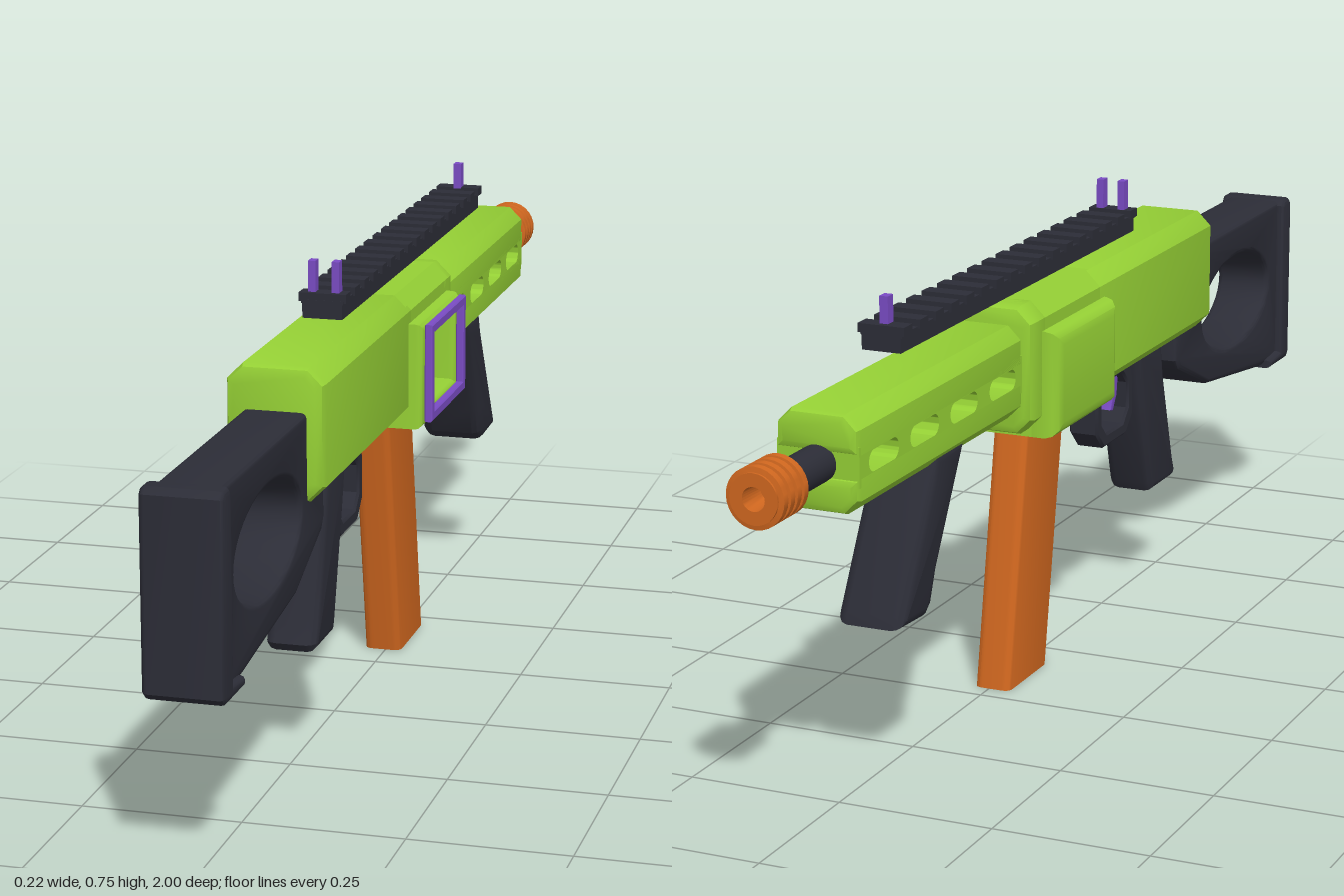
import * as THREE from 'three';
import { toCreasedNormals } from 'three/addons/utils/BufferGeometryUtils.js';

const mat = (name, color) => {
  const m = new THREE.MeshStandardMaterial({ color });
  m.name = name;
  return m;
};

export function createModel() {
  const green = mat('lime green', 0x95d035);
  const dark = mat('charcoal', 0x2c2d37);
  const orange = mat('orange', 0xd0671f);
  const purple = mat('purple', 0x7a4cc4);
  const brass = mat('brass', 0xcda238);

  const root = new THREE.Group();
  root.name = 'toyBlaster';
  root.position.x = -0.005;

  const add = (name, geometry, material, x = 0, y = 0, z = 0) => {
    const m = new THREE.Mesh(geometry, material);
    m.name = name;
    m.position.set(x, y, z);
    root.add(m);
    return m;
  };
  const box = (name, material, w, h, d, x, y, z) =>
    add(name, new THREE.BoxGeometry(w, h, d), material, x, y, z);

  const extrude = (shape, length, bevel, segs) => new THREE.ExtrudeGeometry(shape, {
    depth: length - 2 * bevel, bevelEnabled: bevel > 0, bevelSize: bevel, bevelThickness: bevel,
    bevelOffset: -bevel, bevelSegments: segs, curveSegments: 20,
  }).translate(0, 0, bevel);

  // Side outline of [z, y] points, extruded across the width from x0 to x1
  const vec = ([z, y]) => new THREE.Vector2(-z, y);
  const side = (name, material, pts, x0, x1, bevel = 0, holes = [], segs = 3) => {
    const shape = new THREE.Shape(pts.map(vec));
    shape.holes.push(...holes);
    const g = extrude(shape, x1 - x0, bevel, segs).rotateY(Math.PI / 2);
    return add(name, toCreasedNormals(g, 0.6), material, x0);
  };
  // Cross-section of [x, y] points, extruded along the length from z0 to z1
  const section = (name, material, pts, z0, z1, bevel) => {
    const shape = new THREE.Shape(pts.map(p => new THREE.Vector2(...p)));
    return add(name, toCreasedNormals(extrude(shape, z1 - z0, bevel, 2), 0.5), material, 0, 0, z0);
  };
  const rect = (z0, z1, y0, y1) => [[z0, y0], [z1, y0], [z1, y1], [z0, y1]];
  const pathOf = pts => new THREE.Path(pts.map(vec));

  // Receiver: solid ends and a middle that is open on one side
  const w = 0.077, c = 0.025, yb = 0.437, yt = 0.645;
  const full = [[-w + c, yb], [w - c, yb], [w, yb + c], [w, yt - c], [w - c, yt], [-w + c, yt], [-w, yt - c], [-w, yb + c]];
  const open = [[-w + c, yb], [w - c, yb], [w, 0.45], [-0.055, 0.45], [-0.055, 0.58], [w, 0.58],
    [w, yt - c], [w - c, yt], [-w + c, yt], [-w, yt - c], [-w, yb + c]];
  section('receiverRear', green, full, 0.03, 0.553, 0.014);
  section('receiverFront', green, full, -0.232, -0.164, 0.014);
  section('receiverMiddle', green, open, -0.2, 0.055, 0);

  // Magazine housing with a window on the left side
  side('windowHousing', green, rect(0.06, -0.19, 0.425, 0.6), -0.07, 0.1, 0.012,
    [pathOf(rect(0.026, -0.16, 0.456, 0.572))]);
  side('housingCap', green, rect(0.06, -0.19, 0.425, 0.6), -0.105, -0.035, 0.024);
  side('windowFrame', purple, rect(0.046, -0.182, 0.435, 0.597), 0.1, 0.113, 0.002,
    [pathOf(rect(0.029, -0.165, 0.451, 0.581))], 1);
  for (const z of [-0.018, -0.108]) {
    add('brassRound', new THREE.CylinderGeometry(0.044, 0.044, 0.034, 24), brass, 0, 0.512, z);
    add('brassRim', new THREE.CylinderGeometry(0.036, 0.04, 0.008, 24), brass, 0, 0.532, z);
  }

  // Handguard: upper and lower shells around a slotted strip
  const hw = 0.066;
  section('handguardTop', green, [[-hw, 0.56], [hw, 0.56], [hw, 0.598], [hw - 0.022, 0.62], [-hw + 0.022, 0.62], [-hw, 0.598]],
    -0.812, -0.236, 0.012);
  section('handguardBottom', green, [[-hw, 0.525], [-hw, 0.492], [-hw + 0.022, 0.47], [hw - 0.022, 0.47], [hw, 0.492], [hw, 0.525]],
    -0.812, -0.236, 0.012);
  const slots = [-0.315, -0.455, -0.592, -0.727].map(z => {
    const p = new THREE.Path();
    p.absarc(-z + 0.032, 0.5425, 0.0165, -Math.PI / 2, Math.PI / 2);
    p.absarc(-z - 0.032, 0.5425, 0.0165, Math.PI / 2, Math.PI * 1.5);
    return p;
  });
  side('handguardSlots', green, rect(-0.242, -0.806, 0.512, 0.573), -hw, hw, 0, slots);

  // Barrel and ribbed muzzle
  add('barrel', new THREE.CylinderGeometry(0.029, 0.029, 0.17, 24).rotateX(Math.PI / 2), dark, 0, 0.543, -0.85);
  const profile = [[0, 0.92], [0.04, 0.92]];
  for (let i = 0; i < 4; i++) {
    const s = 0.92 + i * 0.02;
    profile.push([0.046, s + 0.003], [0.046, s + 0.015], [0.038, s + 0.0165], [0.038, s + 0.02]);
  }
  profile.push([0.018, 1], [0.016, 0.95], [0, 0.95]);
  const muzzle = new THREE.LatheGeometry(profile.map(p => new THREE.Vector2(...p)), 28).rotateX(-Math.PI / 2);
  add('muzzle', toCreasedNormals(muzzle, 0.5), orange, 0, 0.543, 0);

  // Top rail with teeth
  box('railBase', dark, 0.064, 0.028, 0.895, 0, 0.672, -0.153);
  for (let i = 0; i < 17; i++) box('railTooth', dark, 0.076, 0.014, 0.028, 0, 0.691, 0.28 - i * 0.0542);
  box('railPlate', dark, 0.068, 0.006, 0.895, 0, 0.684, -0.153);

  // Sights
  for (const x of [-0.019, 0.019]) box('rearSight', purple, 0.012, 0.05, 0.018, x, 0.722, 0.277);
  box('frontSight', purple, 0.014, 0.044, 0.018, 0, 0.718, -0.582);

  // Stock with an oval opening, and the butt pad
  const oval = new THREE.Path();
  oval.absellipse(-0.745, 0.437, 0.166, 0.082, 0, Math.PI * 2);
  side('stock', dark, [[0.97, 0.275], [0.88, 0.277], [0.61, 0.312], [0.47, 0.372], [0.457, 0.39], [0.457, 0.46],
    [0.53, 0.577], [0.97, 0.577]], -0.05, 0.05, 0.009, [oval]);
  side('buttPad', dark, [[1, 0.28], [0.99, 0.27], [0.9, 0.27], [0.9, 0.285], [0.955, 0.29], [0.955, 0.57],
    [0.965, 0.58], [0.99, 0.58], [1, 0.57]], -0.062, 0.062, 0.009);

  // Grips
  side('rearGrip', dark, [[0.41, 0.45], [0.295, 0.45], [0.312, 0.37], [0.362, 0.19], [0.37, 0.175], [0.472, 0.175],
    [0.481, 0.188], [0.47, 0.215], [0.425, 0.37]], -0.041, 0.041, 0.016);
  side('foreGrip', dark, [[-0.42, 0.49], [-0.53, 0.49], [-0.545, 0.45], [-0.65, 0.265], [-0.655, 0.245],
    [-0.565, 0.24], [-0.545, 0.255], [-0.525, 0.305], [-0.44, 0.45]], -0.055, 0.055, 0.018);

  // Trigger and its guard
  const octagon = (z0, z1, y0, y1, k) => [[z0, y0 + k], [z0 - k, y0], [z1 + k, y0], [z1, y0 + k],
    [z1, y1 - k], [z1 + k, y1], [z0 - k, y1], [z0, y1 - k]];
  side('triggerGuard', dark, octagon(0.312, 0.155, 0.302, 0.437, 0.03), -0.026, 0.026, 0.004,
    [pathOf(octagon(0.289, 0.176, 0.325, 0.414, 0.022))], 1);
  side('trigger', purple, [[0.285, 0.42], [0.262, 0.42], [0.265, 0.385], [0.25, 0.35], [0.262, 0.347], [0.278, 0.372]],
    -0.01, 0.01, 0.002);

  // Slanted magazine with rounded front and back edges
  const m = 0.031, r = 0.014;
  const shape = new THREE.Shape();
  shape.moveTo(-m + r, -0.076).lineTo(m - r, -0.076).quadraticCurveTo(m, -0.076, m, -0.076 + r)
    .lineTo(m, 0.076 - r).quadraticCurveTo(m, 0.076, m - r, 0.076)
    .lineTo(-m + r, 0.076).quadraticCurveTo(-m, 0.076, -m, 0.076 - r)
    .lineTo(-m, -0.076 + r).quadraticCurveTo(-m, -0.076, -m + r, -0.076);
  const mag = new THREE.ExtrudeGeometry(shape, { depth: 0.45, bevelEnabled: false, curveSegments: 5 }).rotateX(-Math.PI / 2);
  const p = mag.attributes.position;
  for (let i = 0; i < p.count; i++) p.setZ(i, p.getZ(i) - 0.142 + p.getY(i) * 0.178);
  mag.computeVertexNormals();
  add('magazine', toCreasedNormals(mag, 0.6), orange);

  return root;
}
